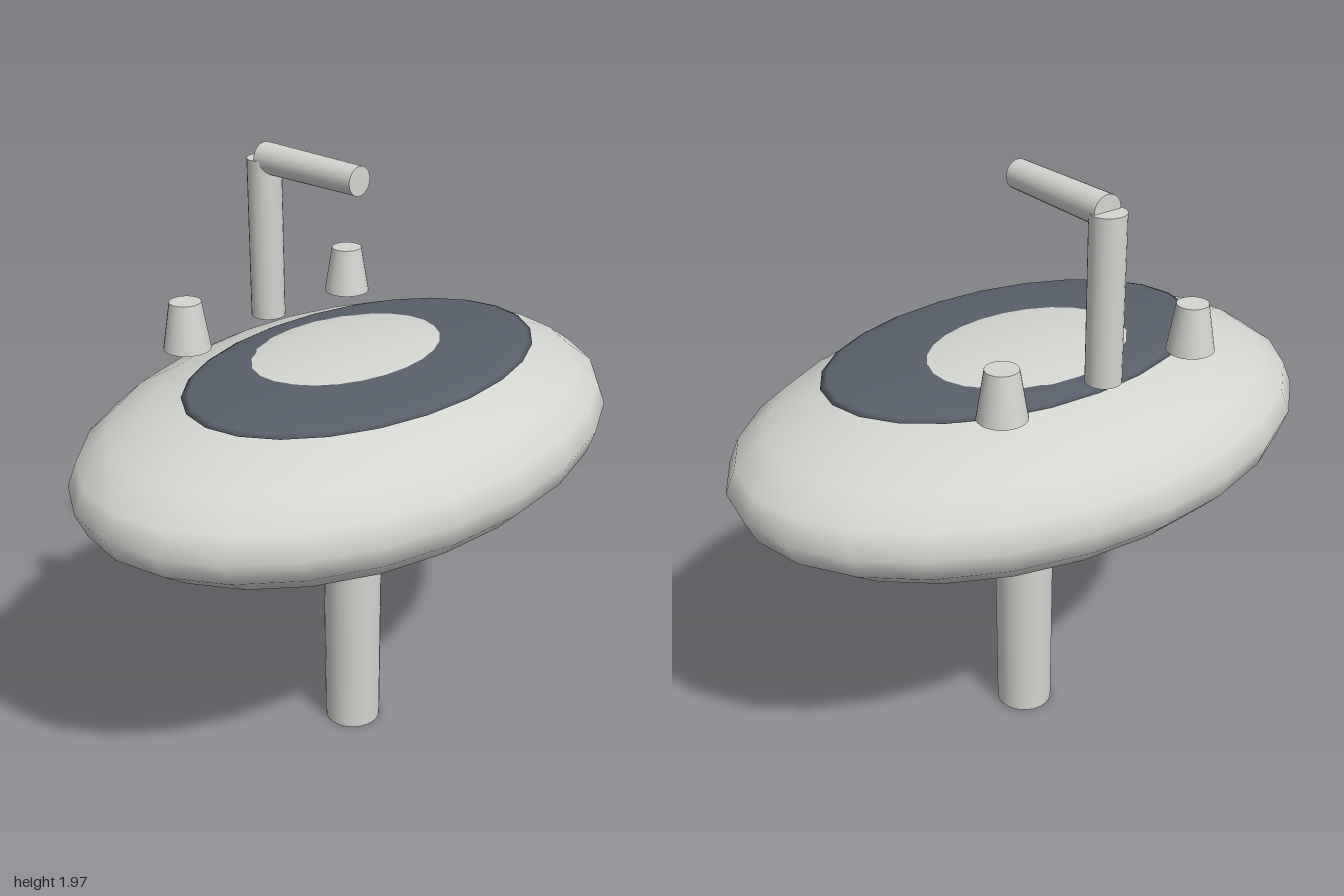
import * as THREE from 'three';

export function createModel() {
  const model = new THREE.Group();
  model.name = 'pedestalBasin';

  const ceramic = new THREE.MeshStandardMaterial({ name: 'pale grey ceramic', color: 0xd3d5d0 });
  const slate = new THREE.MeshStandardMaterial({ name: 'slate blue-grey', color: 0x59606b });

  function add(name, geometry, material, x, y, z) {
    const mesh = new THREE.Mesh(geometry, material);
    mesh.name = name;
    mesh.position.set(x, y, z);
    model.add(mesh);
    return mesh;
  }

  // Sphere stretched to the given half-sizes
  const ellipsoid = (rx, ry, rz) => new THREE.SphereGeometry(1, 24, 12).scale(rx, ry, rz);

  // Pedestal, slightly wider at the top
  add('pedestal', new THREE.CylinderGeometry(0.098, 0.094, 0.81, 24), ceramic, 0, 0.405, 0);

  // Bowl body; its crown rises through the thin dark lens to leave a ring
  add('bowl', ellipsoid(1, 0.289, 0.68), ceramic, 0, 1.112, 0);
  add('basinRing', ellipsoid(0.66, 0.03, 0.415), slate, 0, 1.356, 0.053);

  // Tap: upright pipe and a forward spout tapering to its mouth
  add('tapRiser', new THREE.CylinderGeometry(0.055, 0.055, 0.517, 24), ceramic, 0, 1.6585, -0.375);
  const spout = add('tapSpout', new THREE.CylinderGeometry(0.045, 0.049, 0.4, 24), ceramic, 0, 1.918, -0.172);
  spout.rotation.x = Math.PI / 2;

  // Tapered handles either side of the tap
  for (const [name, side] of [['leftHandle', 1], ['rightHandle', -1]]) {
    add(name, new THREE.CylinderGeometry(0.05, 0.075, 0.152, 24), ceramic, side * 0.36, 1.468, -0.363);
  }

  return model;
}
